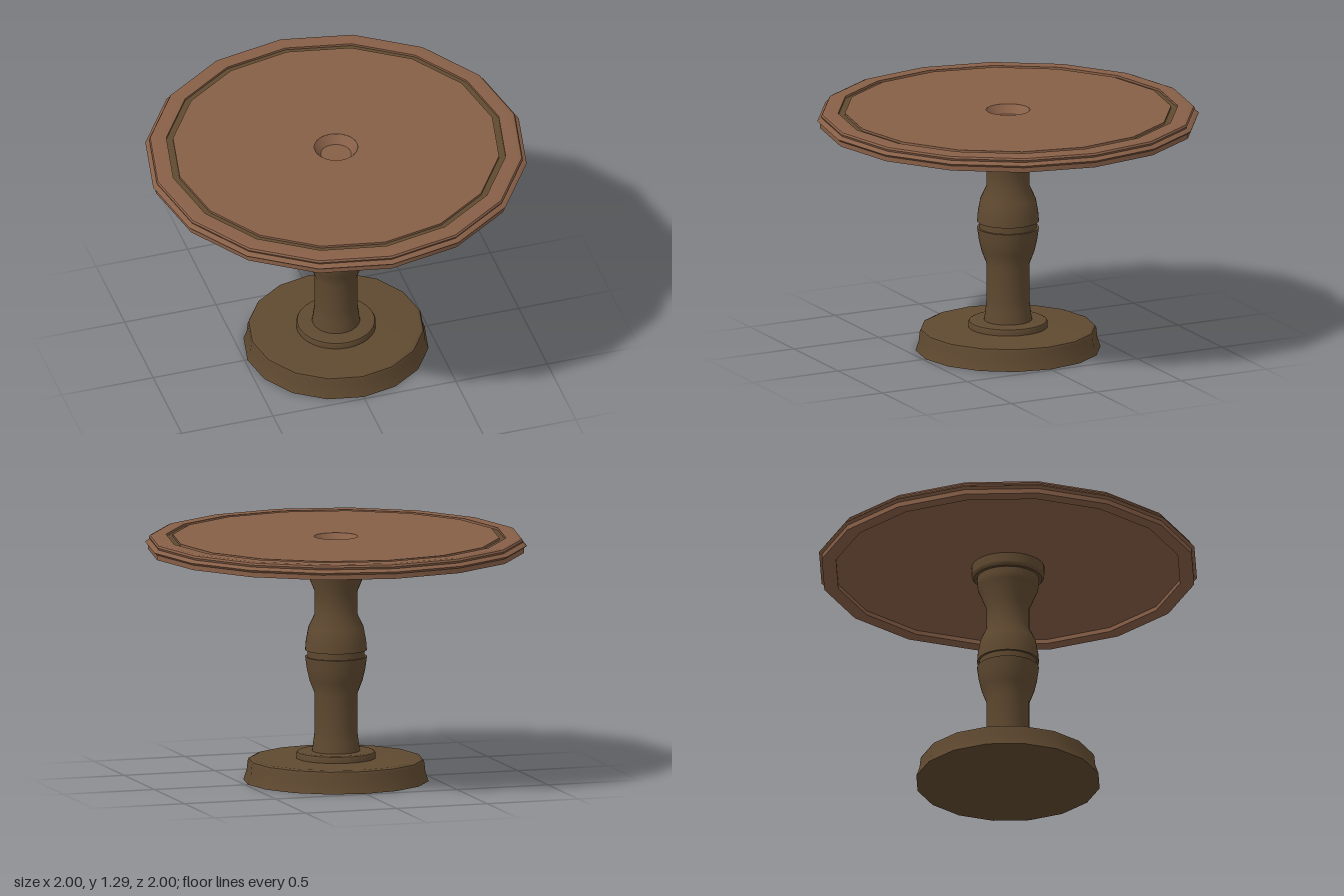
import * as THREE from 'three';
import { mergeGeometries } from 'three/addons/utils/BufferGeometryUtils.js';

// Lathe of [radius, y] points, split into separate runs wherever the profile turns sharply
function turned(profile, sides) {
  const pts = profile.map(([r, y]) => new THREE.Vector2(r, y));
  const runs = [[pts[0]]];
  for (let i = 1; i < pts.length; i++) {
    runs.at(-1).push(pts[i]);
    if (i === pts.length - 1) break;
    const a = pts[i].clone().sub(pts[i - 1]);
    const b = pts[i + 1].clone().sub(pts[i]);
    if (a.angleTo(b) > 0.6) runs.push([pts[i]]);
  }
  const geometry = mergeGeometries(runs.map((run) => new THREE.LatheGeometry(run, sides)));
  geometry.normalizeNormals();
  return geometry;
}

export function createModel() {
  const topWood = new THREE.MeshStandardMaterial({ color: 0x875f47 });
  topWood.name = 'reddish wood';
  const darkWood = new THREE.MeshStandardMaterial({ color: 0x5f4930 });
  darkWood.name = 'dark wood';

  const model = new THREE.Group();
  model.name = 'pedestalTable';
  const add = (name, profile, sides, material) => {
    const mesh = new THREE.Mesh(turned(profile, sides), material);
    mesh.name = name;
    model.add(mesh);
  };

  const SIDES = 16, ROUND = 32;
  const TOP = 1.29, GROOVE = 1.278;

  // Foot with flared skirt and rounded shoulder
  add('base', [[0, 0], [0.485, 0], [0.468, 0.05], [0.463, 0.1], [0.457, 0.113],
    [0.44, 0.12], [0, 0.12]], SIDES, darkWood);
  add('baseCollar', [[0.208, 0.12], [0.208, 0.143], [0.203, 0.152], [0.193, 0.157],
    [0.1, 0.157]], ROUND, darkWood);

  // Turned column with a waist band in the middle
  add('column', [[0.126, 0.15], [0.117, 0.22], [0.112, 0.26], [0.112, 0.46], [0.139, 0.53],
    [0.153, 0.59], [0.162, 0.655], [0.15, 0.655], [0.15, 0.69], [0.162, 0.69],
    [0.158, 0.74], [0.145, 0.81], [0.112, 0.88], [0.112, 1.0], [0.158, 1.11],
    [0.162, 1.14], [0.162, 1.17]], ROUND, darkWood);
  add('topCollar', [[0.15, 1.168], [0.178, 1.168], [0.187, 1.178], [0.19, 1.19],
    [0.19, 1.24]], ROUND, darkWood);

  // Recessed underside, moulded edge and outer border of the table top
  add('tableRim', [[0, 1.235], [0.91, 1.235], [0.91, 1.212], [0.985, 1.212], [0.985, 1.238],
    [1.0, 1.25], [0.985, 1.262], [0.975, 1.264], [0.98, 1.275], [0.974, 1.285],
    [0.96, TOP], [0.89, TOP], [0.89, GROOVE]], SIDES, topWood);
  add('inlaidGroove', [[0.89, GROOVE], [0.855, GROOVE]], SIDES, darkWood);
  add('grooveInnerWall', [[0.855, GROOVE], [0.855, TOP]], SIDES, topWood);

  // Flat table surface with a round opening
  const outline = new THREE.Shape();
  for (let i = 0; i < SIDES; i++) {
    const a = (i / SIDES) * Math.PI * 2;
    const [x, y] = [0.855 * Math.cos(a), 0.855 * Math.sin(a)];
    i ? outline.lineTo(x, y) : outline.moveTo(x, y);
  }
  const opening = new THREE.Path();
  opening.absarc(0, 0, 0.114, 0, Math.PI * 2, true);
  outline.holes.push(opening);
  const surface = new THREE.Mesh(new THREE.ShapeGeometry(outline, ROUND), topWood);
  surface.name = 'tableSurface';
  surface.rotation.x = -Math.PI / 2;
  surface.position.y = TOP;
  model.add(surface);

  // Tapered cup sunk in the middle of the surface
  add('centreCup', [[0.114, TOP], [0.08, 1.245], [0, 1.245]], ROUND, topWood);

  return model;
}
